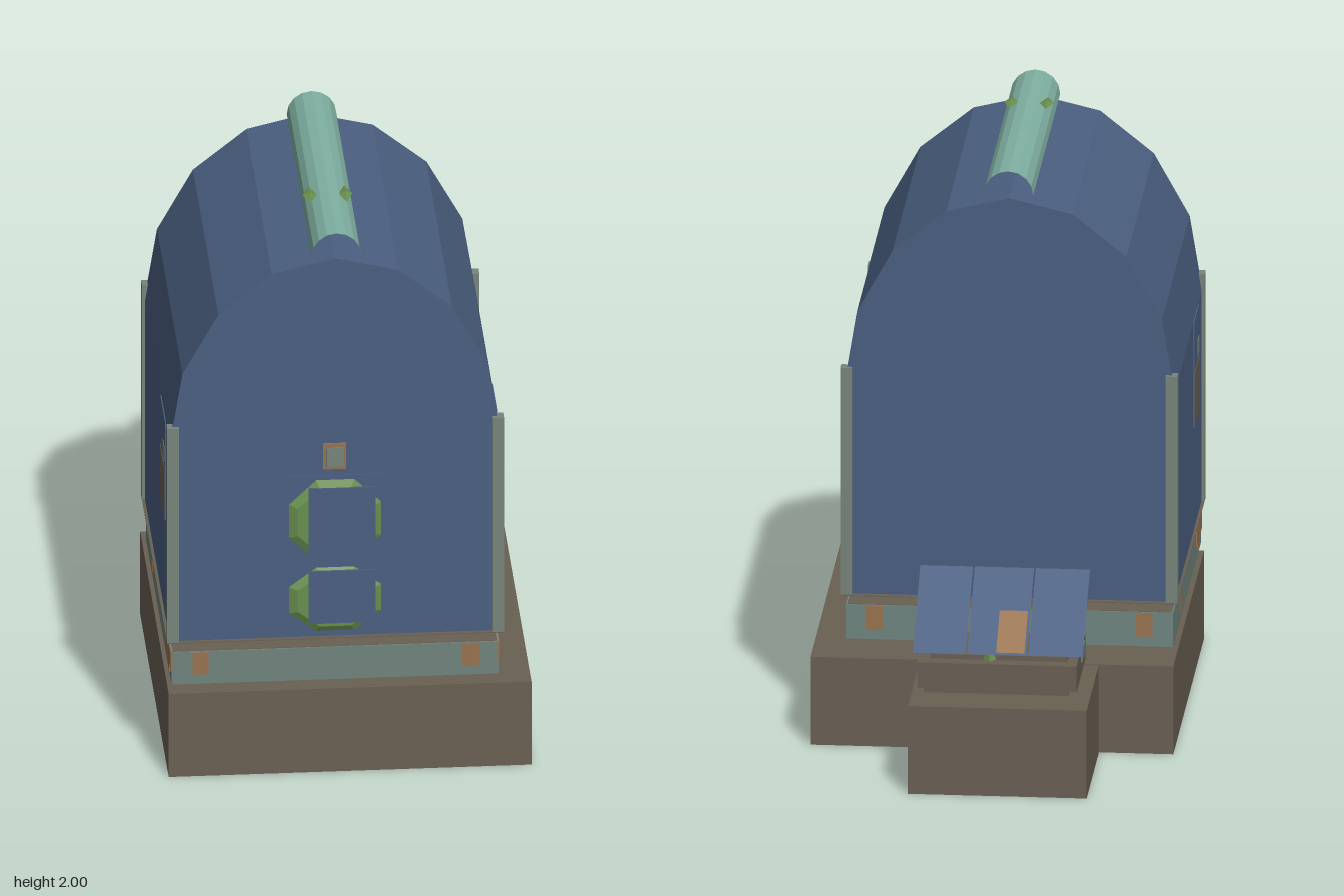
import * as THREE from 'three';

const mat = (name, color, side = THREE.FrontSide) => {
  const m = new THREE.MeshStandardMaterial({ color, flatShading: true, side });
  m.name = name;
  return m;
};

export function createModel() {
  const root = new THREE.Group();
  const blue = mat('slate blue', 0x4a5f80);
  const brown = mat('earth brown', 0x6a6053);
  const sage = mat('grey sage', 0x77857b);
  const band = mat('weathered teal', 0x70857f);
  const mint = mat('mint', 0x7fb0a1, THREE.DoubleSide);
  const orange = mat('rust orange', 0x997350);
  const green = mat('leaf green', 0x678f4e);

  const add = (name, geo, m, parent = root) => {
    const mesh = new THREE.Mesh(geo, m);
    mesh.name = name;
    parent.add(mesh);
    return mesh;
  };
  // box given by its limits on each axis
  const box = (name, m, x0, x1, y0, y1, z0, z1) => {
    const g = new THREE.BoxGeometry(x1 - x0, y1 - y0, z1 - z0);
    g.translate((x0 + x1) / 2, (y0 + y1) / 2, (z0 + z1) / 2);
    return add(name, g, m);
  };

  // foundations
  box('foundation', brown, -0.61, 0.61, 0, 0.31, -0.37, 0.86);
  box('annexFoundation', brown, -0.36, 0.24, 0, 0.31, -0.86, -0.38);

  // plinth band with thin ledge above
  box('plinth', band, -0.6, 0.5, 0.34, 0.46, -0.255, 0.85);
  box('plinthTop', brown, -0.595, 0.495, 0.459, 0.462, -0.25, 0.845);
  box('ledge', brown, -0.615, 0.515, 0.497, 0.5, -0.275, 0.86);

  // rust patches on the plinth
  for (const [x0, x1] of [[-0.53, -0.475], [0.375, 0.435]]) {
    box('plinthPatch', orange, x0, x1, 0.375, 0.457, 0.847, 0.853);
    box('plinthPatch', orange, x0, x1, 0.375, 0.457, -0.258, -0.252);
  }
  for (const x of [-0.6, 0.5]) {
    box('plinthPatch', orange, x - 0.003, x + 0.003, 0.39, 0.457, 0.66, 0.852);
    box('plinthPatch', orange, x - 0.003, x + 0.003, 0.357, 0.39, 0.725, 0.785);
    box('plinthPatch', orange, x - 0.003, x + 0.003, 0.37, 0.457, 0.01, 0.06);
  }

  // hut: straight walls under an eight-sided elliptical vault
  const cx = -0.05, rx = 0.555;
  const profile = new THREE.Shape();
  profile.moveTo(cx - rx, 0.5);
  profile.lineTo(cx + rx, 0.5);
  for (let i = 0; i <= 8; i++) {
    const a = (i * Math.PI) / 8;
    profile.lineTo(cx + rx * Math.cos(a), 1.24 + 0.67 * Math.sin(a));
  }
  profile.closePath();
  const hut = new THREE.ExtrudeGeometry(profile, { depth: 1.1, bevelEnabled: false });
  hut.translate(0, 0, -0.255);
  add('vaultedHut', hut, blue);

  // corner posts
  for (const x of [-0.615, 0.478])
    for (const z of [-0.27, 0.82])
      box('cornerPost', sage, x, x + 0.04, 0.5, 1.3, z, z + 0.04);

  // open half-round ridge cap with two leaves
  const cap = new THREE.CylinderGeometry(0.083, 0.083, 1.08, 8, 1, true, Math.PI / 2, Math.PI);
  cap.rotateX(Math.PI / 2);
  add('ridgeCap', cap, mint).position.set(-0.045, 1.917, 0.3);
  for (const x of [-0.11, 0.01]) {
    const leaf = add('ridgeLeaf', new THREE.OctahedronGeometry(1), green);
    leaf.scale.set(0.024, 0.009, 0.063);
    leaf.position.set(x, 1.99, 0.52);
  }

  // door: blue backing, bevelled leafy surrounds, blue panes
  box('doorBacking', blue, -0.22, 0.12, 0.51, 1.1, 0.84, 0.849);
  for (const [y0, y1, p0, p1] of [[0.77, 1.1, 0.775, 1.06], [0.51, 0.77, 0.555, 0.75]]) {
    const g = new THREE.CylinderGeometry(0.8, 1.082, 1, 8);
    g.rotateY(Math.PI / 8);
    g.rotateX(Math.PI / 2);
    const surround = add('leafySurround', g, green);
    surround.scale.set(0.17, (y1 - y0) / 2, 0.02);
    surround.position.set(-0.05, (y0 + y1) / 2, 0.852);
    box('doorPane', blue, -0.14, 0.085, p0, p1, 0.856, 0.864);
  }
  // lamp over the door
  box('lampFrame', orange, -0.09, -0.013, 1.125, 1.22, 0.845, 0.851);
  box('lampGlass', sage, -0.08, -0.022, 1.135, 1.205, 0.848, 0.854);

  // side hatches
  for (const s of [-1, 1]) {
    const x = cx + s * rx;
    box('hatchPanel', blue, x - 0.004, x + 0.004, 0.87, 1.24, 0.48, 0.68);
    box('hatchPlate', brown, x - 0.006, x + 0.006, 0.87, 1.063, 0.483, 0.677);
    box('hatchLabel', sage, x - 0.006, x + 0.006, 1.08, 1.137, 0.6, 0.66);
  }

  // annex chest
  box('chestFoot', brown, -0.285, 0.2, 0.31, 0.335, -0.71, -0.4);
  box('chestBody', brown, -0.315, 0.22, 0.33, 0.42, -0.725, -0.38);
  box('chestTop', brown, -0.28, 0.18, 0.42, 0.437, -0.68, -0.43);
  box('chestStrip', orange, -0.3, 0.2, 0.419, 0.424, -0.425, -0.382);
  for (const x of [-0.315, 0.22])
    box('chestLabel', band, x - 0.004, x + 0.004, 0.375, 0.418, -0.545, -0.44);
  for (const [x, z, h] of [[-0.07, -0.55, 0.05], [0.04, -0.52, 0.075], [-0.02, -0.69, 0.055]])
    add('sprout', new THREE.ConeGeometry(0.022, h, 4), green).position.set(x, 0.425 + h / 2, z);

  // raised lid, a thin sheet in three panels hinged toward the hut
  const lid = new THREE.Group();
  lid.name = 'chestLid';
  for (const [x0, x1] of [[-0.285, -0.103], [-0.097, 0.102], [0.108, 0.285]]) {
    const g = new THREE.PlaneGeometry(x1 - x0, 0.366);
    g.translate((x0 + x1) / 2, 0, 0);
    add('lidPanel', g, blue, lid);
  }
  add('lidPatch', new THREE.PlaneGeometry(0.095, 0.177), orange, lid).position.set(-0.042, 0.088, 0.004);
  lid.rotation.x = -(Math.PI / 2 + 0.61);
  lid.position.set(-0.05, 0.56, -0.58);
  root.add(lid);

  return root;
}
